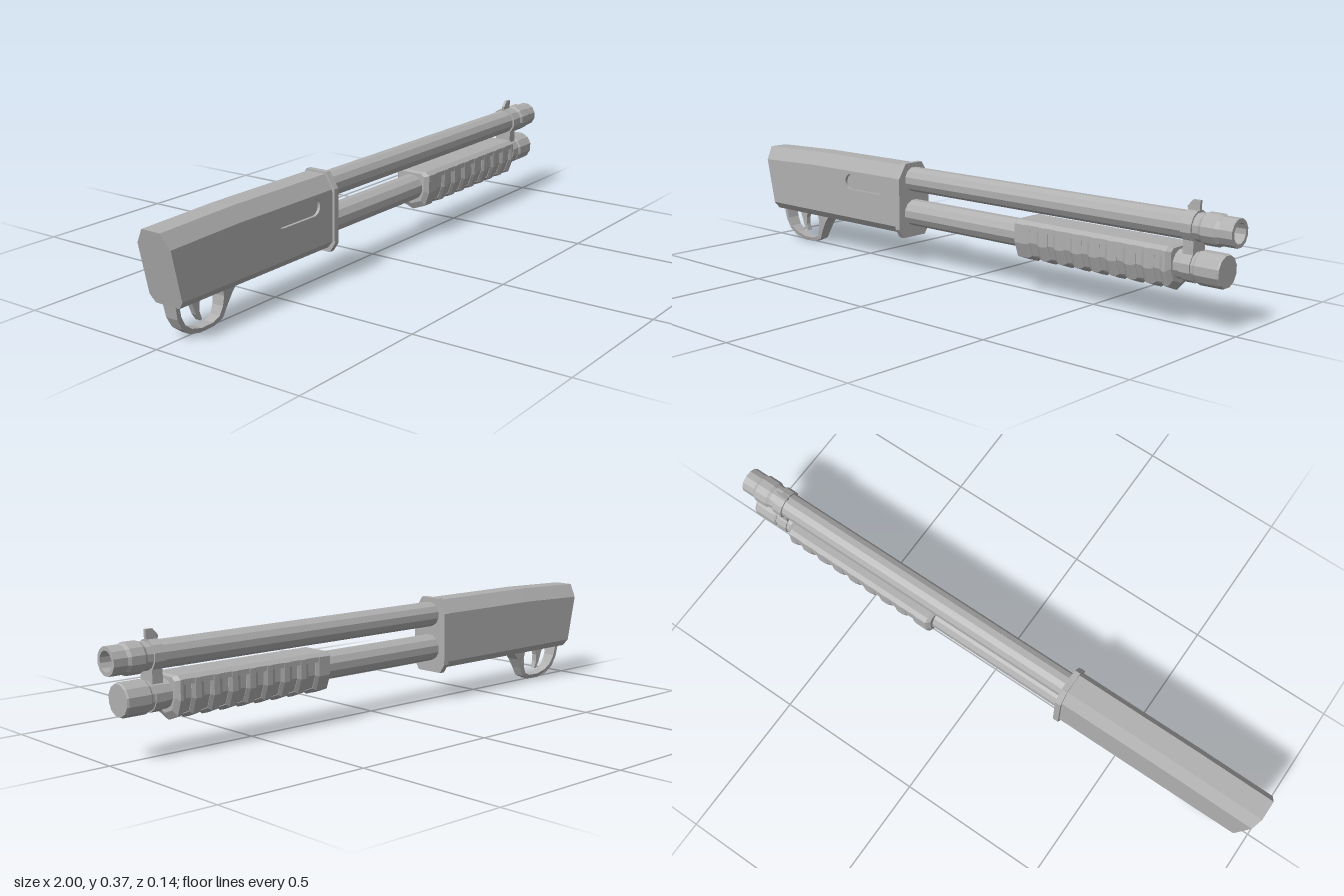
import * as THREE from 'three';

const steel = new THREE.MeshStandardMaterial({ color: 0xb0b0b0, flatShading: true });
steel.name = 'grey steel';

function add(group, name, geometry) {
  const mesh = new THREE.Mesh(geometry, steel);
  mesh.name = name;
  group.add(mesh);
  return mesh;
}

// Skin a row of equal cross-sections running towards +x; edge `skip` is left open.
function loft(sections, skip = -1) {
  const n = sections[0].length, last = (sections.length - 1) * n, index = [];
  for (let i = 0; i < sections.length - 1; i++) {
    for (let j = 0; j < n; j++) {
      if (j === skip) continue;
      const a = i * n + j, b = i * n + (j + 1) % n;
      index.push(a, b, b + n, a, b + n, a + n);
    }
  }
  for (let j = 1; j < n - 1; j++) index.push(0, j + 1, j, last, last + j, last + j + 1);
  const g = new THREE.BufferGeometry();
  g.setAttribute('position', new THREE.Float32BufferAttribute(sections.flat(2), 3));
  g.setIndex(index);
  const out = g.toNonIndexed();
  out.computeVertexNormals();
  return out;
}

// Mirror a +z half profile [z, y] (top to bottom) into a closed loop.
function mirrored(half) {
  const other = half.filter(p => p[0] > 0).reverse().map(([z, y]) => [-z, y]);
  return [...half, ...other];
}

// Lathe profile [x, radius] turned around an axis parallel to x.
function turned(profile, y, sides = 12) {
  const g = new THREE.LatheGeometry(profile.map(([x, r]) => new THREE.Vector2(r, x)), sides);
  g.rotateZ(-Math.PI / 2);
  g.rotateX(Math.PI / sides);
  g.translate(0, y, 0);
  return g;
}

function extruded(shape, z0, z1, curveSegments = 6) {
  const g = new THREE.ExtrudeGeometry(shape, { depth: z1 - z0, bevelEnabled: false, curveSegments });
  g.translate(0, 0, z0);
  return g;
}

const vectors = pts => pts.map(p => new THREE.Vector2(...p));

// Rounded slot outline
function slot(Type, x0, x1, y, r) {
  const s = new Type();
  s.absarc(x1 - r, y, r, -Math.PI / 2, Math.PI / 2, false);
  s.absarc(x0 + r, y, r, Math.PI / 2, Math.PI * 1.5, false);
  s.closePath();
  return s;
}

function buildReceiver(group) {
  const profile = top => mirrored([[0.034, top], [0.062, top - 0.045], [0.062, 0.135], [0.044, 0.112]]);
  const rearX = y => -1 + (0.338 - y) * 0.22;
  const at = (x, top) => profile(top).map(([z, y]) => [x ?? rearX(y), y, z]);
  add(group, 'receiver', loft([at(null, 0.338), at(-0.72, 0.346), at(-0.28, 0.346)], 1));

  // Side wall with the recessed ejection port
  const wall = new THREE.Shape(vectors([
    [rearX(0.135), 0.135], [-0.28, 0.135], [-0.28, 0.301], [-0.72, 0.301], [rearX(0.293), 0.293],
  ]));
  wall.holes.push(slot(THREE.Path, -0.555, -0.355, 0.263, 0.027));
  add(group, 'receiverSideWall', extruded(wall, 0.05, 0.062));
  const floor = new THREE.ShapeGeometry(slot(THREE.Shape, -0.555, -0.355, 0.263, 0.027), 6);
  floor.translate(0, 0, 0.052);
  add(group, 'ejectionPortFloor', floor);

  // Collar at the front of the receiver
  const collar = mirrored([[0.038, 0.352], [0.07, 0.302], [0.07, 0.127], [0.05, 0.097]]);
  add(group, 'receiverCollar', loft([-0.295, -0.275].map(x => collar.map(([z, y]) => [x, y, z]))));
}

function buildTubes(group) {
  add(group, 'barrel', turned([
    [-0.29, 0], [-0.29, 0.042], [0.89, 0.042], [0.9, 0.048], [0.945, 0.048],
    [0.955, 0.043], [1, 0.043], [1, 0.031], [0.92, 0.031], [0.92, 0],
  ], 0.296));
  add(group, 'magazineTube', turned([[-0.29, 0], [-0.29, 0.045], [0.89, 0.045], [0.89, 0]], 0.181));
  add(group, 'magazineCap', turned([
    [0.88, 0], [0.88, 0.047], [0.886, 0.051], [0.96, 0.051], [0.966, 0.048], [0.966, 0],
  ], 0.181));
}

function buildFrontBand(group) {
  add(group, 'barrelBand', turned([[0.835, 0], [0.835, 0.048], [0.87, 0.048], [0.87, 0]], 0.296));
  add(group, 'magazineBand', turned([[0.835, 0], [0.835, 0.049], [0.87, 0.049], [0.87, 0]], 0.181));
  add(group, 'bandBridge', new THREE.BoxGeometry(0.035, 0.06, 0.06)).position.set(0.8525, 0.235, 0);
  const blade = new THREE.Shape(vectors([
    [0.835, 0.32], [0.87, 0.32], [0.872, 0.372], [0.848, 0.372], [0.83, 0.352],
  ]));
  add(group, 'frontSight', extruded(blade, -0.005, 0.005));
}

function buildPump(group) {
  const outline = mirrored([[0.05, 0.237], [0.065, 0.225], [0.065, 0.165], [0.048, 0.118], [0, 0.1]]);
  const ring = ([x, s]) => outline.map(([z, y]) => [x, 0.21 + (y - 0.21) * s, z * s]);
  add(group, 'pumpCore', loft([[0.228, 0.8], [0.24, 0.9], [0.795, 0.9], [0.807, 0.8]].map(ring)));

  // Raised ribs, with longer ones at both ends
  const rib = (a, b, endA, endB) =>
    add(group, 'pumpRib', loft([[a, endA], [a + 0.012, 1], [b - 0.012, 1], [b, endB]].map(ring)));
  rib(0.225, 0.293, 0.8, 0.92);
  for (let i = 0; i < 7; i++) rib(0.322 + i * 0.0655, 0.366 + i * 0.0655, 0.92, 0.92);
  rib(0.778, 0.812, 0.92, 0.8);

  // Smooth rail along the top
  const rail = mirrored([[0.05, 0.237], [0.064, 0.226], [0.064, 0.21]]);
  add(group, 'pumpRail', loft([0.24, 0.797].map(x => rail.map(([z, y]) => [x, y, z]))));
}

function buildTrigger(group) {
  // Guard loop, narrowing towards the bottom
  const guard = new THREE.Shape(vectors([
    [-0.945, 0.115], [-0.936, 0.07], [-0.918, 0.036], [-0.885, 0.012], [-0.84, 0.001], [-0.785, 0.003],
    [-0.75, 0.018], [-0.735, 0.05], [-0.715, 0.085], [-0.69, 0.115],
  ]));
  guard.holes.push(new THREE.Path(vectors([
    [-0.93, 0.111], [-0.922, 0.075], [-0.906, 0.047], [-0.878, 0.026], [-0.838, 0.015], [-0.79, 0.016],
    [-0.765, 0.028], [-0.753, 0.055], [-0.749, 0.085], [-0.755, 0.111],
  ])));
  const g = extruded(guard, -1, 1);
  const p = g.attributes.position;
  for (let i = 0; i < p.count; i++) {
    const t = Math.min(1, Math.max(0, p.getY(i) / 0.1));
    p.setZ(i, p.getZ(i) * (0.011 + 0.013 * Math.sqrt(t)));
  }
  p.setY(0, p.getY(0));
  g.translate(0, -0.001, 0);
  g.computeVertexNormals();
  add(group, 'triggerGuard', g);

  const trigger = new THREE.Shape(vectors([
    [-0.875, 0.115], [-0.862, 0.085], [-0.85, 0.055], [-0.835, 0.034], [-0.828, 0.036],
    [-0.836, 0.06], [-0.836, 0.085], [-0.826, 0.115],
  ]));
  add(group, 'trigger', extruded(trigger, -0.009, 0.009));
}

export function createModel() {
  const model = new THREE.Group();
  for (const [name, build] of Object.entries({
    receiverGroup: buildReceiver, tubes: buildTubes, frontBand: buildFrontBand,
    pump: buildPump, triggerGroup: buildTrigger,
  })) {
    const part = new THREE.Group();
    part.name = name;
    build(part);
    model.add(part);
  }
  return model;
}
